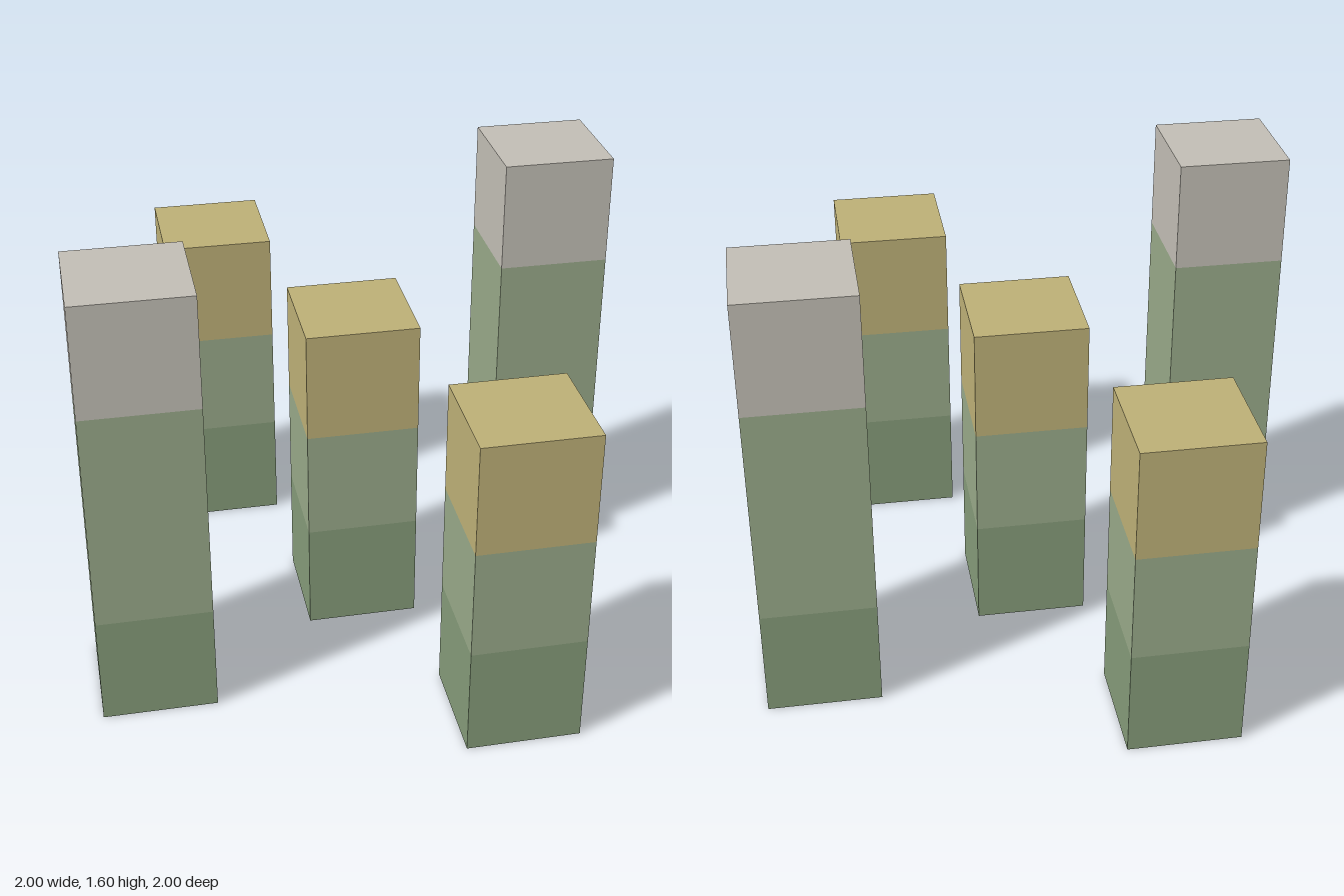
import * as THREE from 'three';

const SIZE = 0.4; // edge of one block

const paint = (color) => new THREE.MeshStandardMaterial({ color, flatShading: true, side: THREE.DoubleSide });

export function createModel() {
  const model = new THREE.Group();
  const darkGreen = paint(0x849a78);
  const lightGreen = paint(0x97a888);
  const sand = paint(0xbcaf76);
  const grey = paint(0xc1bdb4);

  // Four upright walls without ends
  function walls(name, y0, y1, material) {
    const geometry = new THREE.CylinderGeometry(
      SIZE * Math.SQRT1_2, SIZE * Math.SQRT1_2, y1 - y0, 4, 1, true, Math.PI / 4);
    const mesh = new THREE.Mesh(geometry, material);
    mesh.name = name;
    mesh.position.y = (y0 + y1) / 2;
    return mesh;
  }

  // Square pillar, hollow and open underneath, closed by a coloured top block
  function pillar(name, x, z, height, topMaterial) {
    const group = new THREE.Group();
    group.name = name;
    const shoulder = height - SIZE;
    group.add(
      walls('base', 0, SIZE, darkGreen),
      walls('shaft', SIZE, shoulder, lightGreen),
      walls('topBlock', shoulder, height, topMaterial));
    const lid = new THREE.Mesh(new THREE.PlaneGeometry(SIZE, SIZE).rotateX(-Math.PI / 2), topMaterial);
    lid.name = 'lid';
    lid.position.y = height;
    group.add(lid);
    group.position.set(x, 0, z);
    model.add(group);
  }

  // Diagonal row of short pillars
  for (const i of [-1, 0, 1]) pillar('shortPillar', 0.4 * i, 0.8 * i, 1.2, sand);
  // Tall pillars on either side
  for (const s of [-1, 1]) pillar('tallPillar', 0.8 * s, -0.4 * s, 1.6, grey);

  return model;
}
